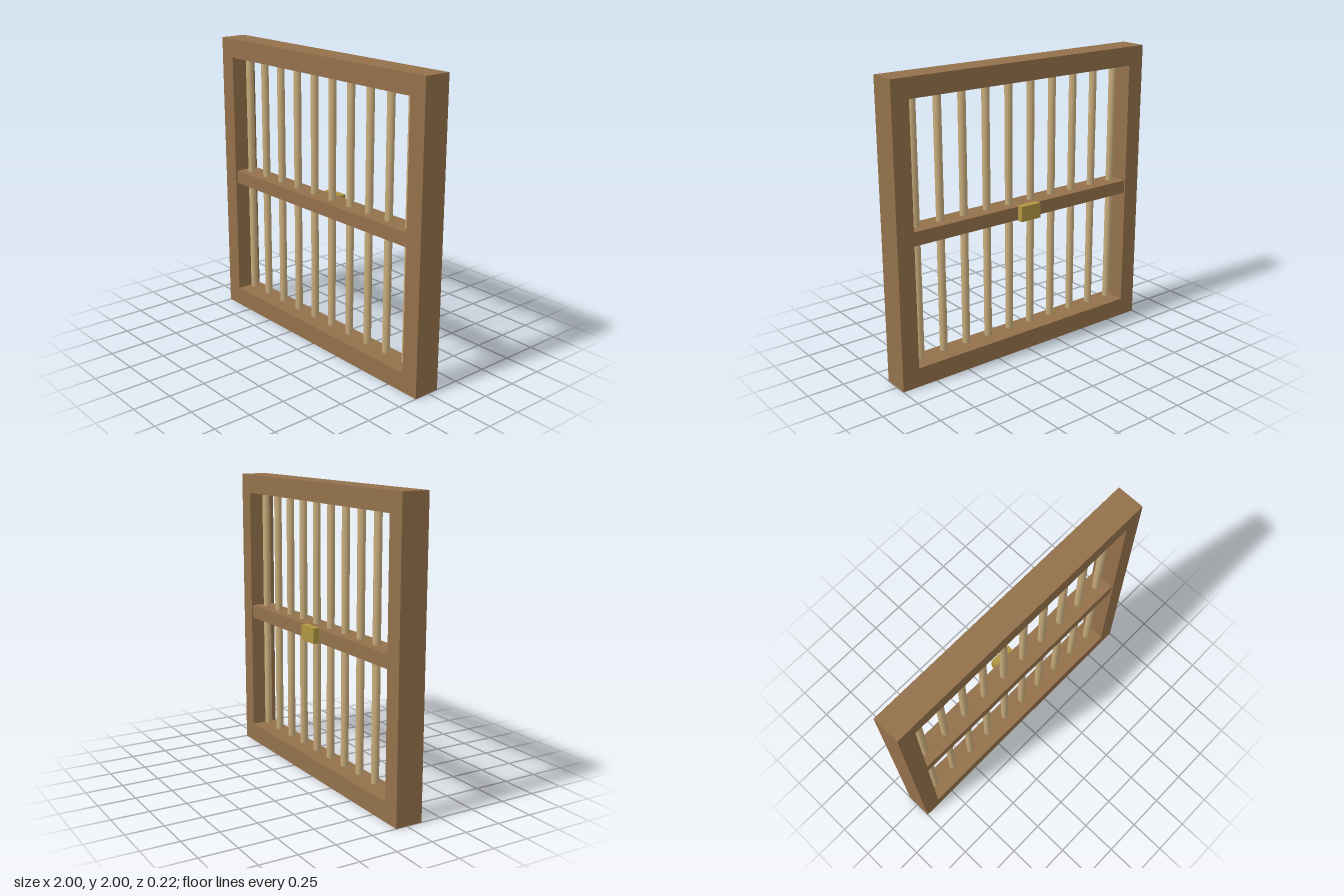
import * as THREE from 'three';
import { mergeVertices } from 'three/addons/utils/BufferGeometryUtils.js';

const material = (name, color) => {
  const m = new THREE.MeshStandardMaterial({ color });
  m.name = name;
  return m;
};

// Bar with rounded-looking ends: caps and side share their normals
function barGeometry(radius, height) {
  const g = new THREE.CylinderGeometry(radius, radius, height, 12);
  g.deleteAttribute('normal');
  g.deleteAttribute('uv');
  const merged = mergeVertices(g);
  merged.computeVertexNormals();
  return merged;
}

export function createModel() {
  const model = new THREE.Group();
  model.name = 'barredWindow';
  const wood = material('brown wood', 0x94714b);
  const paleWood = material('pale wood', 0xc8ac7c);
  const brass = material('brass', 0xb09540);

  const add = (name, geometry, mat, x, y, z) => {
    const mesh = new THREE.Mesh(geometry, mat);
    mesh.name = name;
    mesh.position.set(x, y, z);
    model.add(mesh);
  };

  // Outer frame with a rectangular opening
  const outline = new THREE.Shape();
  outline.moveTo(-1, 0).lineTo(1, 0).lineTo(1, 2).lineTo(-1, 2).closePath();
  const opening = new THREE.Path();
  opening.moveTo(-0.88, 0.13).lineTo(-0.88, 1.87).lineTo(0.88, 1.87).lineTo(0.88, 0.13).closePath();
  outline.holes.push(opening);
  const frame = new THREE.ExtrudeGeometry(outline, { depth: 0.187, bevelEnabled: false });
  add('frame', frame, wood, 0, 0, -0.078);

  // Middle rail and the latch plate on its back
  add('middleRail', new THREE.BoxGeometry(1.76, 0.092, 0.165), wood, 0, 1, 0.015);
  add('latch', new THREE.BoxGeometry(0.156, 0.104, 0.045), brass, 0, 1.002, -0.087);

  // Ten bars above and ten below the rail
  const bar = barGeometry(0.026, 0.82);
  for (let i = 0; i < 10; i++) {
    const x = -0.81 + i * 0.18;
    add('upperBar', bar, paleWood, x, 1.445, 0.015);
    add('lowerBar', bar, paleWood, x, 0.56, 0.015);
  }
  return model;
}
